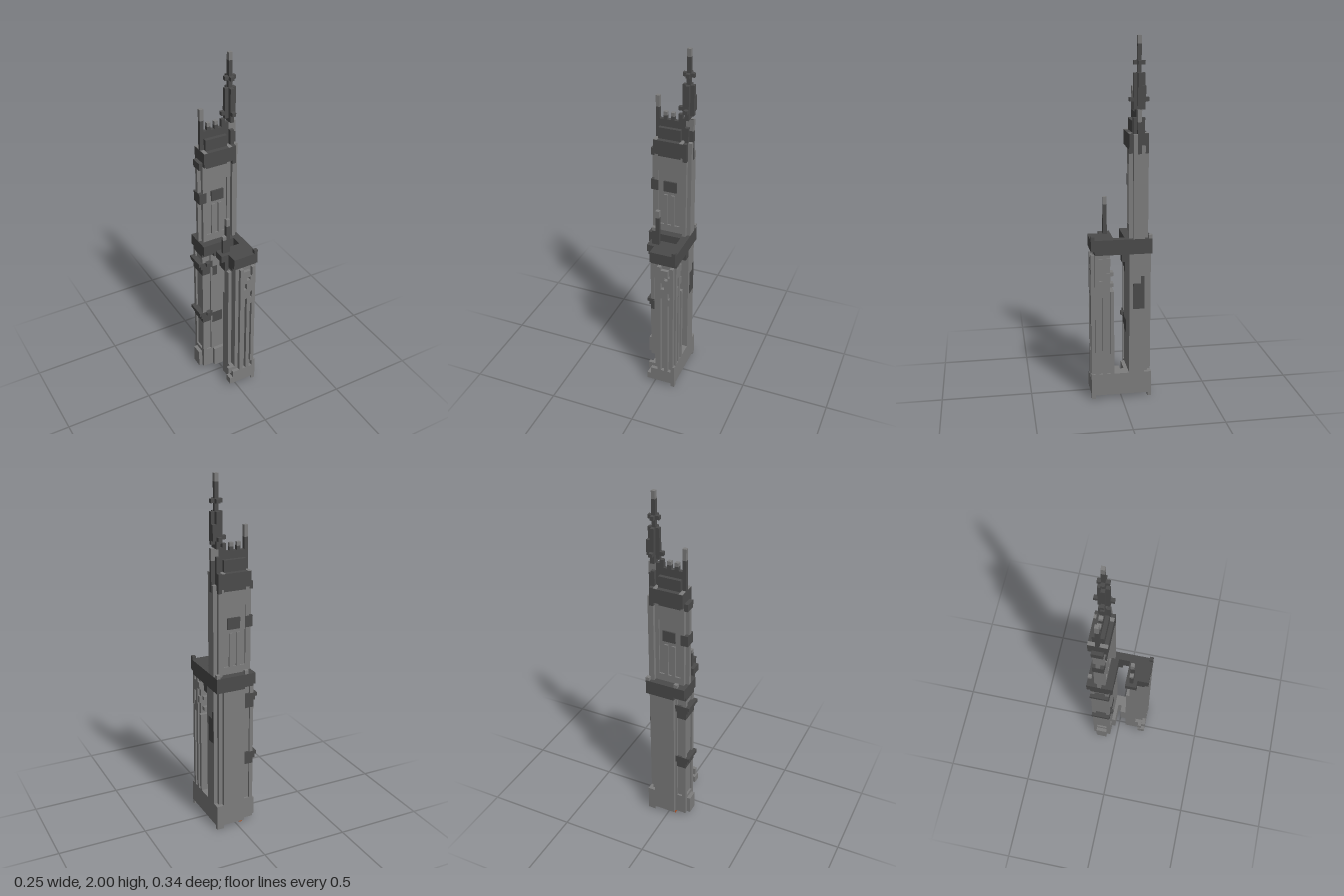
import * as THREE from 'three';

const U = 2 / 95; // one block

export function createModel() {
  const model = new THREE.Group();
  const mat = (name, color) => {
    const m = new THREE.MeshStandardMaterial({ color });
    m.name = name;
    return m;
  };
  const stone = mat('stone', 0x7d7d7d);
  const dark = mat('darkStone', 0x4b4b4b);
  const rust = mat('rust', 0xb5562a);

  // Box from block ranges: x0, x1, y0, y1, z0, z1
  const box = (name, material, x0, x1, y0, y1, z0, z1) => {
    const mesh = new THREE.Mesh(
      new THREE.BoxGeometry((x1 - x0) * U, (y1 - y0) * U, (z1 - z0) * U), material);
    mesh.position.set((x0 + x1) / 2 * U, (y0 + y1) / 2 * U, (z0 + z1) / 2 * U);
    mesh.name = name;
    model.add(mesh);
  };

  // Feet
  box('frontFoot', stone, 5, 6, 0, 1, 7, 8);
  box('rearFoot', stone, 4, 6, 0, 1, -8, -7);
  box('rustFoot', rust, -3, -1, 0, 1, -5, -4);
  box('rustFoot', rust, -2, -1, 0, 1, -7, -5);

  // Base: rear block, link and front block
  box('rearBase', stone, -2, 6, 1, 7, -8, -1);
  box('rearBaseBay', stone, -5, -2, 1, 7, -7, -2);
  box('bayPlinth', stone, -6, -5, 1, 6, -6, -3);
  box('baseLink', stone, 3, 6, 1, 7, -1, 0);
  box('baseLink', stone, 1, 6, 1, 7, 0, 2);
  box('frontBase', stone, -1, 6, 1, 5, 2, 8);
  box('frontBaseStep', stone, 0, 6, 5, 7, 2, 7);
  box('baseBlock', stone, -2, -1, 1, 3, 6, 8);
  box('baseBlock', stone, -2, -1, 4, 6, 6, 7);
  box('baseBlock', stone, -1, 0, 5, 6, 5, 7);
  for (const x of [1, 3, 5]) box('frontBaseBlock', stone, x, x + 1, 5, 7, 7, 8);

  // Lower rear shaft with stepped corner and projecting bay
  box('rearShaft', stone, -2, 4, 7, 40, -8, -2);
  box('rearShaftCorner', stone, 4, 5, 7, 40, -7, -2);
  box('rearShaftSide', stone, 5, 6, 7, 40, -6, -2);
  box('rearShaftBay', stone, -4.5, -2, 7, 40, -6.5, -2.5);
  for (const z of [-7, -3]) {
    box('bayPost', stone, -5, -4, 7, 40, z, z + 1);
    box('bayPost', stone, -2.5, -1.9, 7, 40, z, z + 1);
  }
  for (const y of [19, 36]) {
    box('bayBand', dark, -6, -2, y + 1, y + 2, -7.05, -1.95);
    box('bayBandLower', dark, -5.5, -2, y, y + 1, -7.05, -1.95);
    box('bayBandKnob', dark, -4, -3, y + 1, y + 2, -1.95, -1.2);
  }
  // Soot on the lower shaft
  box('soot', dark, -5.03, -2.5, 17.5, 19, -7.03, -1.97);
  box('soot', dark, -2, 1, 16.5, 20, -2, -1.97);
  box('soot', dark, -5.03, -2.5, 34, 36, -7.03, -1.97);
  box('soot', dark, -2, -0.5, 33, 36, -2, -1.97);
  box('soot', dark, 6, 6.03, 25, 32, -6, -3);
  box('soot', dark, 6, 6.03, 32, 34, -6, -5);

  // Lower front shaft with fluted faces, recessed on the inner side near the top
  box('frontShaft', stone, 0, 5.5, 7, 30, 2, 7);
  box('frontShaftTop', stone, 0, 5.5, 30, 40, 3, 7);
  box('frontShaftSide', stone, -1, 0, 5, 30, 2, 5);
  box('frontShaftSideTop', stone, -1, 0, 30, 38, 3, 5);
  for (const x of [1, 3, 4.5]) box('frontRib', stone, x, x + 1, 7, x === 3 ? 36 : 40, 7, 8);
  for (const z of [2, 4, 6]) box('sideRib', stone, 5.5, 6, 7, z === 2 ? 30 : 40, z, z + 1);
  for (const [x, y, h] of [[2, 30, 3], [4, 28, 2], [2, 35, 4], [4, 32, 5], [3, 37, 2]])
    box('frontOrnament', stone, x, x + 1, y, y + h, 7, 7.95);
  for (const [z, y, h] of [[3, 33, 2], [5, 30, 3], [3, 37, 2], [5, 36, 3]])
    box('sideOrnament', stone, 5.5, 5.95, y, y + h, z, z + 1);
  for (const y of [31, 34]) box('innerOrnament', stone, 3, 5, y, y + 1, 2, 3);

  // Dark belt with bridge joining the two shafts
  box('rearBelt', dark, -2, 6, 40, 44, -8, -1);
  box('rearBeltBay', dark, -5, -2, 41, 44, -8, -1);
  box('bayCapital', dark, -5, -2, 40, 41, -7, -2);
  box('bridge', dark, 4, 6, 41, 44, -1, 2);
  box('bridgeBracket', dark, 4, 6, 38, 40, -2, 0);
  box('bridgeBracket', dark, 4, 6, 40, 41, -1, 2);
  box('frontBelt', dark, -1, 6, 41, 44, 2, 8);
  box('frontBeltUnder', dark, -1, 6, 40, 41, 2, 7);
  box('frontBeltSide', dark, -3, -1, 42, 44, 2, 5);
  box('frontBeltCorbel', dark, -2, -1, 39, 42, 2, 5);
  box('frontPinnacle', dark, 5, 6, 44, 45, 7, 8);
  box('rearPinnacle', stone, 5, 6, 44, 45, -8, -7);
  box('rearPinnacle', stone, -3, -2, 44, 45, -8, -7);

  // Pole on the front turret
  box('frontPole', dark, -1, 0, 44, 52, 3, 4);
  box('frontPoleTip', stone, -1, 0, 52, 54, 3, 4);
  box('frontPoleSide', dark, -2, -1, 44, 48, 3, 4);
  box('frontPoleSideTip', stone, -2, -1, 48, 49, 3, 4);

  // Upper tower body with pilasters and window frames
  box('upperBody', stone, -3.5, 4, 44, 67, -5.6, -3.4);
  for (const x of [-4, 3]) box('upperPilaster', stone, x, x + 1, 44, 67, -6, -3);
  box('sideButtress', stone, -5, -4, 44, 66, -5, -4);
  box('sideKnob', dark, -5.03, -4, 56, 59, -6, -3);
  box('sideButtressCap', dark, -5, -4, 66, 68, -6, -3);
  for (const [z0, z1] of [[-6, -5.6], [-3.4, -3]]) {
    box('windowMullion', stone, -1.5, -0.5, 44, 55, z0, z1);
    box('windowMullion', stone, 0.5, 1.5, 44, 55, z0, z1);
    box('windowSill', stone, -3, 3, 44, 46, z0, z1);
    box('windowHead', dark, -1.5, 2, 56, 59, z0, z1);
    box('windowLintel', stone, -3, 3, 62, 66, z0, z1);
    box('windowLintelSoot', dark, -3, 3, 66, 67, z0, z1);
  }
  for (const z of [-6.03, -3]) box('pilasterSoot', dark, -4, -3, 56, 59, z, z + 0.03);

  // Cornice with pale corner caps, stepped gable and merlons
  box('cornice', dark, -4, 4, 67, 70.9, -7, -2);
  for (const x of [-4, 3])
    for (const z of [-7, -4]) box('corniceCap', stone, x, x + 1, 70.9, 71, z, z + 2);
  box('gableStep', dark, -3, 3, 71, 74, -6, -3);
  box('gableRidge', dark, -4, 3, 71, 76, -5, -4);
  for (const x of [-2, 0, 2]) {
    box('merlon', dark, x, x + 1, 76, 77, -5, -4);
    box('merlonTip', x === 2 ? dark : stone, x, x + 1, 77, 78, -5, -4);
  }
  box('roofPole', dark, -4, -3, 76, 79, -5, -4);
  box('roofPoleTip', stone, -4, -3, 79, 82, -5, -4);

  // Stair turret on the left rear corner
  box('turretShaft', stone, 5, 6, 44, 66, -6, -3);
  box('turretButtress', stone, 4, 5, 44, 66, -7, -2);
  box('turretButtressTop', dark, 4, 5, 66, 71, -7, -2);
  box('turretUpper', dark, 3, 6, 66, 77, -5, -4);
  for (const z of [-6, -4]) box('turretCorner', stone, 5, 6, 66, z === -4 ? 71 : 68, z, z + 1);
  box('turretNeck', dark, 4, 5, 71, 75, -6, -3);
  box('turretNeckPatch', stone, 4, 6.03, 74, 77, -5.03, -3.97);
  box('turretNeckTop', dark, 4, 5, 77, 79, -6, -3);
  box('turretRing', dark, 4, 5, 79, 80, -7, -2);
  box('turretRing', dark, 2, 4, 79, 80, -5, -4);

  // Turret head and spire
  box('turretHead', dark, 3, 6, 78, 86, -5, -4);
  box('turretHead', dark, 4, 5, 80, 86, -6, -3);
  box('turretHeadCorner', dark, 5, 6, 79, 83, -6, -5);
  box('spire', dark, 4, 5, 86, 93, -5, -4);
  box('spireTip', stone, 4, 5, 93, 95, -5, -4);
  box('spireCross', dark, 3, 6, 88, 89, -5, -4);
  box('spireCross', dark, 4, 5, 88, 89, -6, -3);

  return model;
}
